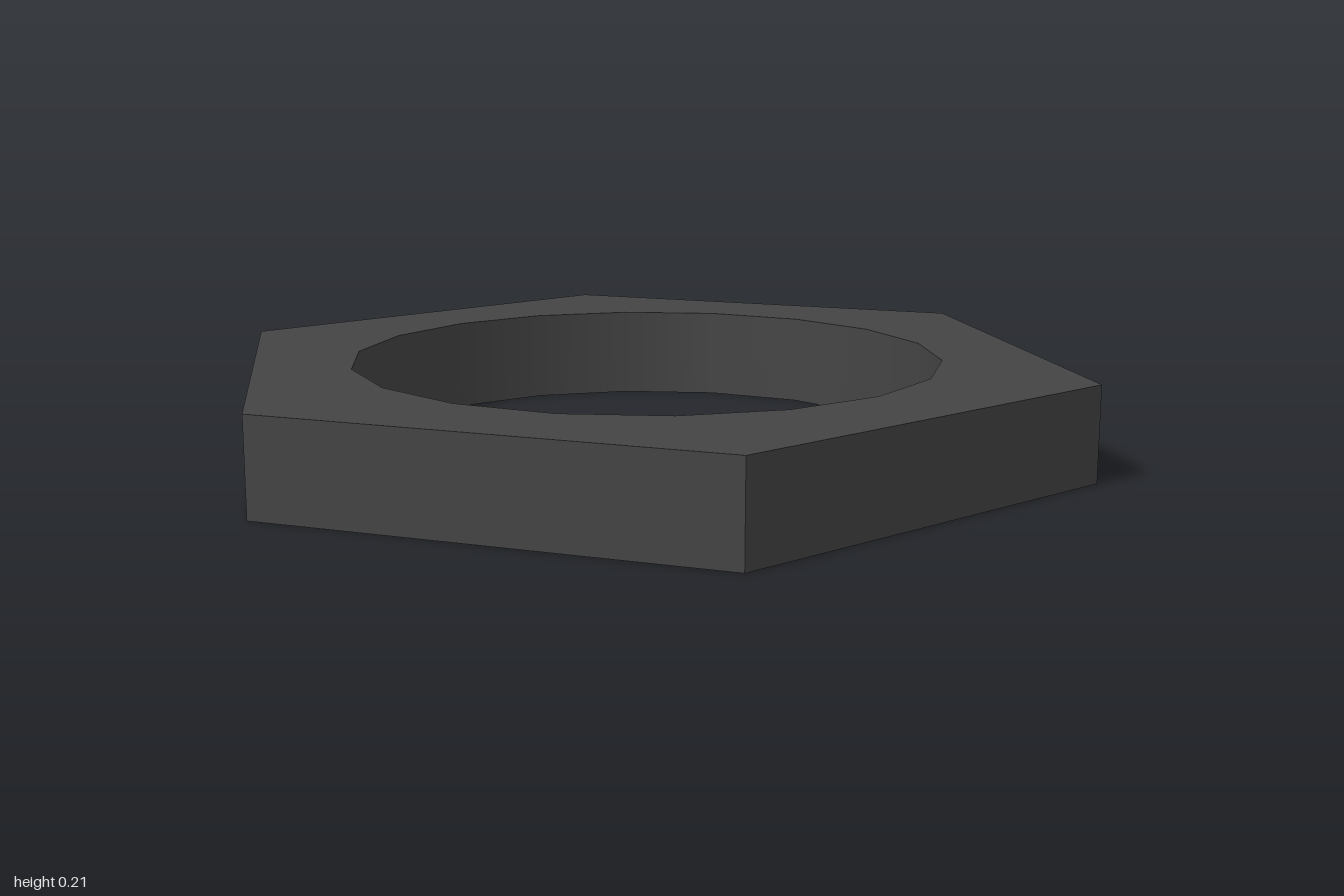
import * as THREE from 'three';

const HEIGHT = 0.21;
const BORE_RADIUS = 0.658;

// Points of a regular polygon, starting at the given angle
function polygon(sides, radius, start) {
  return Array.from({ length: sides }, (_, i) => {
    const a = start + (i / sides) * Math.PI * 2;
    return new THREE.Vector2(Math.cos(a) * radius, Math.sin(a) * radius);
  });
}

export function createModel() {
  const group = new THREE.Group();
  group.name = 'hexNut';

  // Hexagonal plate with an 18-sided bore
  const outline = new THREE.Shape(polygon(6, 1, 0));
  outline.holes.push(new THREE.Path(polygon(18, BORE_RADIUS, -Math.PI / 36)));
  const geometry = new THREE.ExtrudeGeometry(outline, { depth: HEIGHT, bevelEnabled: false });
  geometry.rotateX(-Math.PI / 2);

  // Smooth the bore wall: its normals point straight at the axis
  const { position, normal } = geometry.attributes;
  for (let i = 0; i < position.count; i++) {
    const x = position.getX(i), z = position.getZ(i), r = Math.hypot(x, z);
    if (r < 0.7 && Math.abs(normal.getY(i)) < 0.5) normal.setXYZ(i, -x / r, 0, -z / r);
  }

  const body = new THREE.Mesh(geometry, new THREE.MeshStandardMaterial({ color: 0x444444 }));
  body.name = 'nutBody';
  group.add(body);
  return group;
}
